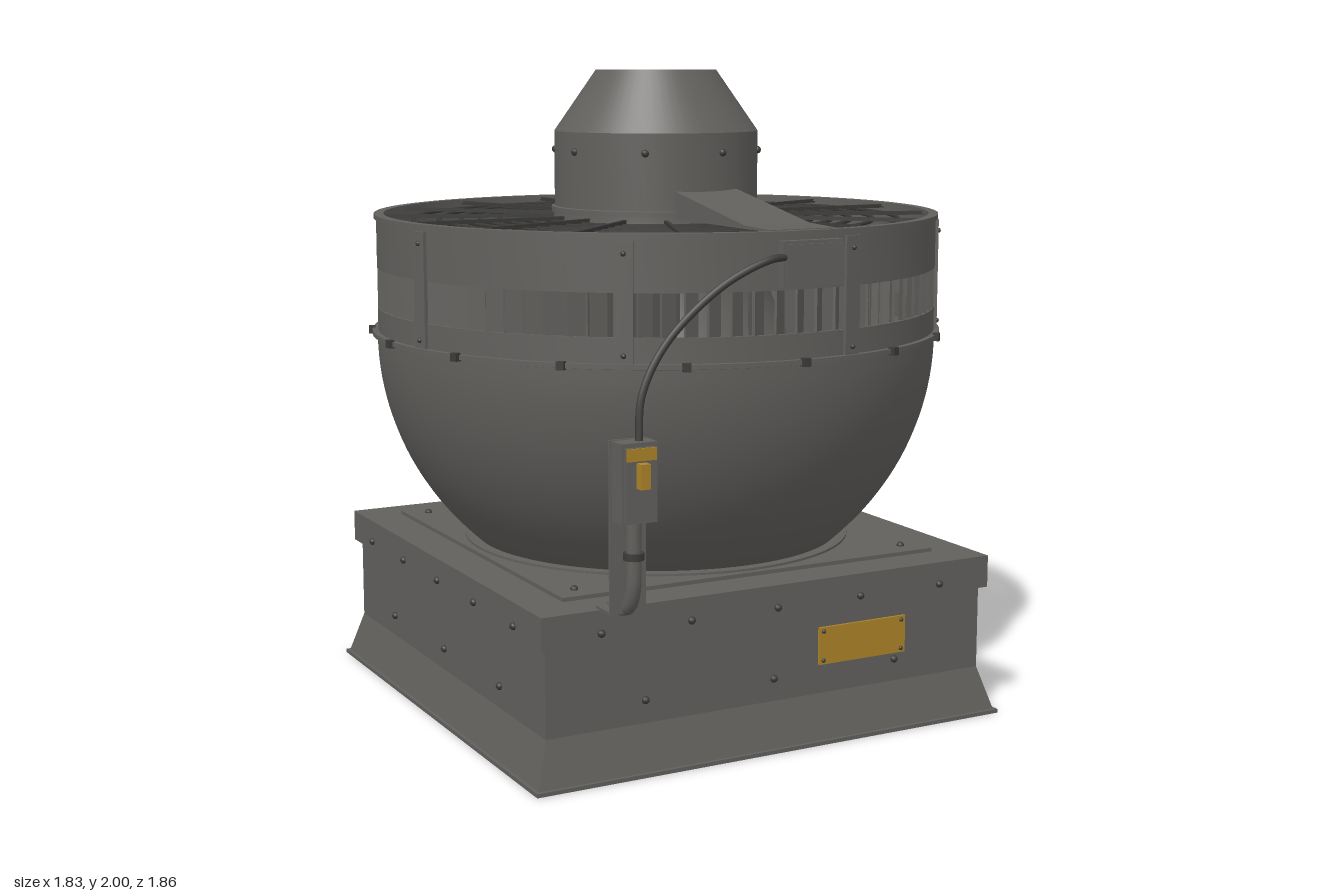
import * as THREE from 'three';
import { toCreasedNormals } from 'three/addons/utils/BufferGeometryUtils.js';

export function createModel() {
  const model = new THREE.Group();
  model.name = 'roofFan';
  const mat = (name, color, side = THREE.FrontSide) => {
    const m = new THREE.MeshStandardMaterial({ color, side });
    m.name = name;
    return m;
  };
  const steel = mat('greySteel', 0x62605d, THREE.DoubleSide);
  const dark = mat('darkWire', 0x3c3b3a);
  const brass = mat('yellowBrass', 0xac8429);

  const body = new THREE.Group();
  body.name = 'fanBody';
  body.position.z = -0.0125;
  model.add(body);

  const add = (name, geo, m = steel, x = 0, y = 0, z = 0, parent = body) => {
    const mesh = new THREE.Mesh(geo, m);
    mesh.name = name;
    mesh.position.set(x, y, z);
    parent.add(mesh);
    return mesh;
  };
  const box = (name, w, h, d, x, y, z, m = steel, parent = body) =>
    add(name, new THREE.BoxGeometry(w, h, d), m, x, y, z, parent);
  const lathe = (name, pts, m = steel, seg = 96) =>
    add(name, toCreasedNormals(new THREE.LatheGeometry(pts.map(p => new THREE.Vector2(...p)), seg), 0.5), m);
  const tube = (name, pts, r, m, parent = body) =>
    add(name, new THREE.TubeGeometry(new THREE.CatmullRomCurve3(pts.map(p => new THREE.Vector3(...p))), 40, r, 10), m, 0, 0, 0, parent);
  // Repeats a part around the fan axis; angle 0 faces the front
  const around = (name, count, offset, make) => {
    for (let i = 0; i < count; i++) {
      const g = new THREE.Group();
      g.name = name;
      g.rotation.y = offset + (i * Math.PI * 2) / count;
      body.add(g);
      make(g, i);
    }
  };
  const boltGeo = new THREE.SphereGeometry(0.012, 10, 6);
  const bolt = (x, y, z, parent = body) => add('bolt', boltGeo, dark, x, y, z, parent);

  // Square curb: foot plate, flared skirt, box and cap
  box('footPlate', 1.59, 0.012, 1.59, 0, 0.006, 0);
  const skirt = new THREE.CylinderGeometry(0.745 * Math.SQRT2, 0.785 * Math.SQRT2, 0.135, 4);
  skirt.rotateY(Math.PI / 4);
  add('skirt', toCreasedNormals(skirt, 0.3), steel, 0, 0.078, 0);
  box('curbBox', 1.49, 0.28, 1.49, 0, 0.28, 0);
  box('curbCap', 1.53, 0.1, 1.53, 0, 0.455, 0);
  box('topPlate', 1.28, 0.012, 1.28, 0, 0.511, 0);
  for (const x of [-0.57, 0.57]) for (const z of [-0.57, 0.57]) bolt(x, 0.518, z);
  around('curbSideBolts', 4, 0, (g) => {
    for (let i = -2; i <= 2; i++) bolt(i * 0.29, 0.437, 0.767, g);
    for (let i = -1; i <= 1; i++) bolt(i * 0.43, 0.215, 0.747, g);
  });

  // Rating plate
  box('ratingPlate', 0.31, 0.115, 0.008, 0.31, 0.293, 0.749, brass);
  for (const x of [0.17, 0.45]) for (const y of [0.248, 0.338])
    add('plateRivet', new THREE.SphereGeometry(0.007, 8, 6), dark, x, y, 0.753);

  // Round bowl, following a circle that is cut at the neck
  const bowl = [[0.62, 0.515], [0.62, 0.524], [0.585, 0.524]];
  for (let i = 1; i <= 20; i++) {
    const y = 0.524 + (0.651 * i) / 20;
    bowl.push([0.887 * Math.sqrt(1 - ((1.175 - y) / 0.865) ** 2), y]);
  }
  lathe('bowl', bowl);

  // Inner channel rising to the hub
  const channel = new THREE.SplineCurve([[0.88, 1.18], [0.82, 1.06], [0.72, 0.99], [0.58, 1.01], [0.45, 1.14],
    [0.36, 1.32], [0.33, 1.5], [0.325, 1.57]].map(p => new THREE.Vector2(...p)));
  lathe('innerChannel', channel.getPoints(28).map(p => [p.x, p.y]));

  // Swept vanes inside the channel
  around('vane', 10, 0.03, (g) => {
    const vane = box('vanePlate', 0.006, 0.36, 0.44, 0, 1.22, 0.57, steel, g);
    vane.rotation.y = -0.54;
  });

  // Wind band: joint ring, lower and upper hoops, rim
  const hoop = (name, r, t, y0, y1) => lathe(name, [[r - t, y0], [r, y0], [r, y1], [r - t, y1], [r - t, y0]]);
  hoop('jointRing', 0.903, 0.035, 1.178, 1.192);
  hoop('lowerHoop', 0.885, 0.012, 1.19, 1.265);
  hoop('upperHoop', 0.885, 0.012, 1.39, 1.548);
  hoop('topRim', 0.892, 0.03, 1.542, 1.556);
  around('jointBolt', 16, 0, (g) => box('clip', 0.024, 0.024, 0.02, 0, 1.185, 0.905, dark, g));

  // Slats in the open slot
  around('slat', 84, 0, (g) => {
    const s = box('slatBar', 0.05, 0.135, 0.008, 0, 1.327, 0.866, steel, g);
    s.rotation.y = 0.65;
  });

  // Vertical straps
  around('strap', 8, Math.PI / 16, (g) => {
    box('strapPlate', 0.055, 0.345, 0.012, 0, 1.362, 0.888, steel, g);
    for (const y of [1.215, 1.5])
      add('strapBolt', new THREE.SphereGeometry(0.008, 8, 6), dark, 0, y, 0.894, g);
  });

  // Top guard: rings and spokes
  for (const r of [0.36, 0.43, 0.5, 0.56, 0.62, 0.69, 0.77]) {
    const ring = new THREE.TorusGeometry(r, 0.006, 6, 72);
    ring.rotateX(Math.PI / 2);
    add('guardRing', ring, dark, 0, 1.535, 0);
  }
  around('guardSpoke', 16, 0, (g) => box('spoke', 0.012, 0.012, 0.56, 0, 1.543, 0.6, dark, g));

  // Motor hood
  lathe('motorHood', [[0, 1.558], [0.332, 1.558], [0.332, 1.574], [0.322, 1.576], [0.322, 1.81], [0.19, 2], [0, 2]], steel, 64);
  around('hoodBolt', 8, Math.PI / 16, (g) => bolt(0, 1.75, 0.322, g));

  // Sloped cable duct from hood to rim
  const duct = new THREE.Shape([[0.28, 1.552], [0.86, 1.552], [0.86, 1.558], [0.72, 1.562], [0.3, 1.637], [0.28, 1.637]]
    .map(p => new THREE.Vector2(-p[0], p[1])));
  const ductGeo = new THREE.ExtrudeGeometry(duct, { depth: 0.22, bevelEnabled: false });
  ductGeo.rotateY(Math.PI / 2);
  add('cableDuct', ductGeo, steel, -0.097, 0, 0);

  // Junction box and cable
  box('junctionBox', 0.2, 0.13, 0.04, 0.02, 1.465, 0.888);
  box('junctionLid', 0.18, 0.11, 0.006, 0.02, 1.465, 0.91);
  tube('cable', [[-0.06, 1.485, 0.9], [-0.12, 1.48, 0.905], [-0.26, 1.41, 0.88], [-0.42, 1.26, 0.855], [-0.5, 1.12, 0.86], [-0.517, 0.99, 0.875]], 0.011, dark);

  // Isolator switch on its bracket
  const sw = new THREE.Group();
  sw.name = 'isolatorSwitch';
  sw.position.x = -0.53;
  body.add(sw);
  box('bracketPlate', 0.112, 0.49, 0.008, 0, 0.755, 0.83, steel, sw);
  box('bracketFoot', 0.112, 0.008, 0.09, 0, 0.51, 0.79, steel, sw);
  box('switchBody', 0.11, 0.225, 0.06, 0, 0.888, 0.875, steel, sw);
  box('switchCover', 0.094, 0.205, 0.012, 0, 0.886, 0.909, steel, sw);
  box('switchLabel', 0.09, 0.035, 0.006, 0, 0.97, 0.917, brass, sw);
  box('switchKnob', 0.03, 0.07, 0.028, 0, 0.912, 0.929, brass, sw);
  tube('conduit', [[0, 0.78, 0.868], [0, 0.68, 0.868], [0, 0.58, 0.864], [0, 0.528, 0.838], [0, 0.512, 0.79], [0, 0.512, 0.74]], 0.022, steel, sw);
  add('conduitCollar', new THREE.CylinderGeometry(0.03, 0.03, 0.02, 16), dark, 0, 0.677, 0.868, sw);
  return model;
}
